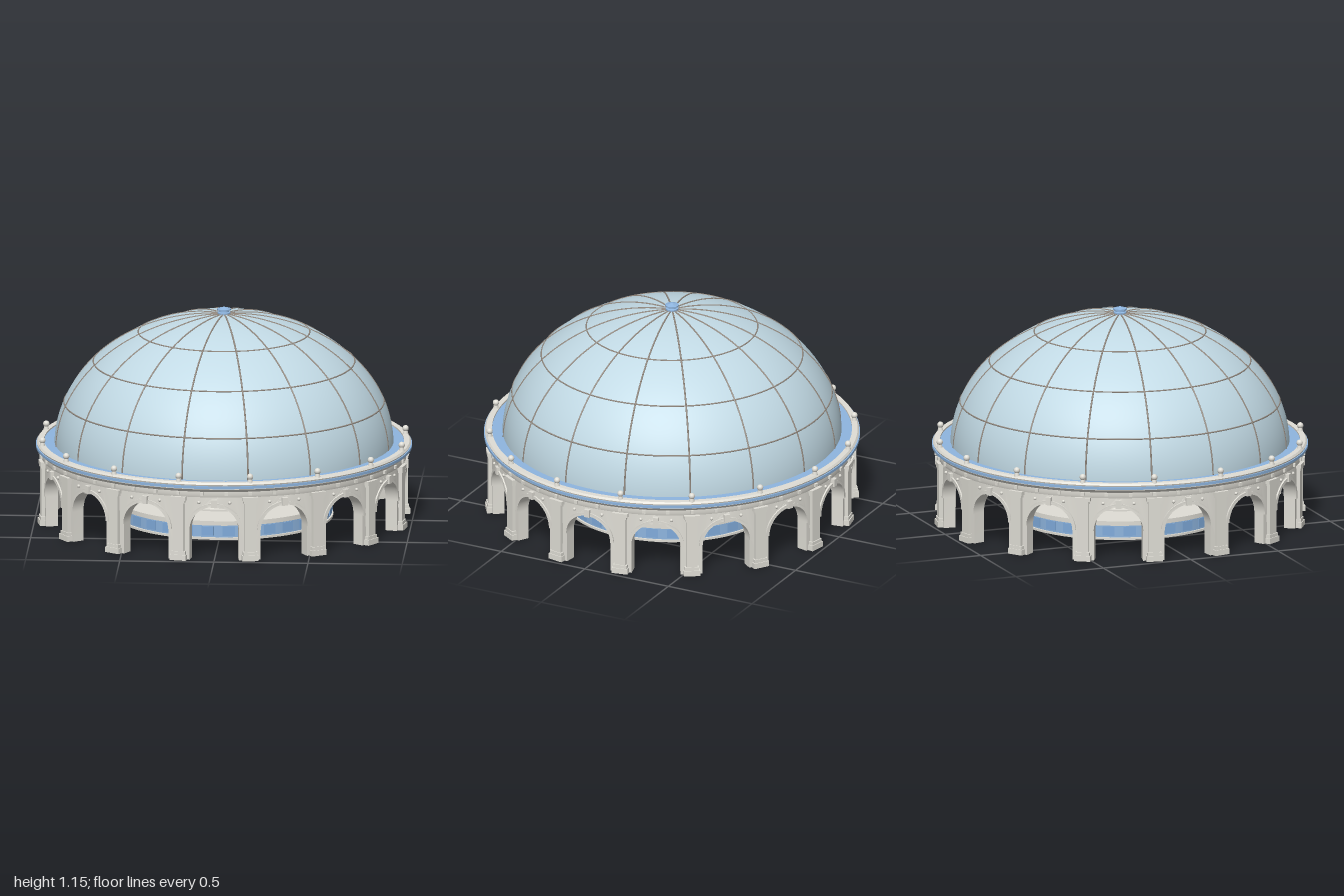
import * as THREE from 'three';
import { toCreasedNormals } from 'three/addons/utils/BufferGeometryUtils.js';

const material = (name, color, side = THREE.FrontSide) => {
  const m = new THREE.MeshStandardMaterial({ color, side });
  m.name = name;
  return m;
};

const BAYS = 16, STEP = Math.PI * 2 / BAYS;
const WALL_IN = 0.9, WALL_OUT = 0.963;
const HALF_BAY = WALL_OUT * STEP / 2;   // half a bay, measured along the wall face
const ARCH = 0.131, SPRING = 0.163;

export function createModel() {
  const model = new THREE.Group();
  model.name = 'domedPavilion';

  const stone = material('stone', 0xdfddd5);
  const blue = material('blue trim', 0x8eb5df);
  const deepBlue = material('panel blue', 0x80abdb);
  const glass = material('dome glass', 0xc1d9e4, THREE.DoubleSide);
  const bronze = material('rib bronze', 0x968c82);

  const add = (name, geo, mat, parent = model) => {
    const mesh = new THREE.Mesh(geo, mat);
    mesh.name = name;
    parent.add(mesh);
    return mesh;
  };

  // Turned part from [radius, y] points; closed profiles run counter-clockwise
  const turned = (name, pts, mat, closed = false, segments = 96) => {
    const list = closed ? [...pts, pts[0]] : pts;
    const geo = new THREE.LatheGeometry(list.map(([r, y]) => new THREE.Vector2(r, y)), segments);
    return add(name, toCreasedNormals(geo, 0.5), mat);
  };

  // Rectangular ring
  const band = (name, r0, r1, y0, y1, mat) =>
    turned(name, [[r0, y0], [r1, y0], [r1, y1], [r0, y1]], mat, true);

  // Repeats one geometry around the vertical axis
  const around = (name, geo, mat, count = BAYS, offset = 0) => {
    const group = new THREE.Group();
    group.name = name + 'Ring';
    for (let i = 0; i < count; i++) {
      add(name, geo, mat, group).rotation.y = offset + i * Math.PI * 2 / count;
    }
    model.add(group);
  };

  const block = (w, h, d, y, r) => new THREE.BoxGeometry(w, h, d).translate(0, y + h / 2, r);

  // Extrudes a flat shape and wraps it onto the round wall
  const wrapped = (shape, r0, r1) => {
    const geo = new THREE.ExtrudeGeometry(shape, { depth: r1 - r0, bevelEnabled: false, curveSegments: 20 });
    const p = geo.attributes.position;
    for (let i = 0; i < p.count; i++) {
      const a = p.getX(i) / WALL_OUT, r = r0 + p.getZ(i);
      p.setXYZ(i, r * Math.sin(a), p.getY(i), r * Math.cos(a));
    }
    return toCreasedNormals(geo, 0.5);
  };

  // Arcade wall, one arched bay at a time
  const bay = new THREE.Shape();
  bay.moveTo(HALF_BAY, 0);
  for (let i = 0; i <= 8; i++) bay.lineTo(HALF_BAY * (1 - i / 4), 0.4);
  bay.lineTo(-HALF_BAY, 0);
  bay.lineTo(-ARCH, 0);
  bay.lineTo(-ARCH, SPRING);
  bay.absarc(0, SPRING, ARCH, Math.PI, 0, true);
  bay.lineTo(ARCH, 0);
  around('archBay', wrapped(bay, WALL_IN, WALL_OUT), stone);

  // Raised moulding and keystone over each arch
  const moulding = new THREE.Shape();
  moulding.absarc(0, SPRING, ARCH + 0.018, 0, Math.PI, false);
  moulding.absarc(0, SPRING, ARCH, Math.PI, 0, true);
  around('archMoulding', wrapped(moulding, WALL_OUT - 0.005, WALL_OUT + 0.008), stone);
  around('keystone', block(0.03, 0.042, 0.026, 0.29, 0.967), stone);
  for (const s of [-1, 1]) {
    around('spandrelBoss', new THREE.SphereGeometry(0.009, 10, 8).translate(0, 0.315, 0.965), stone, BAYS, s * 0.085);
  }

  // Pilasters on the piers: base, shaft and capital
  const half = STEP / 2;
  around('pierBase', block(0.088, 0.03, 0.04, 0, 0.972), stone, BAYS, half);
  around('pierBaseStep', block(0.076, 0.018, 0.034, 0.03, 0.97), stone, BAYS, half);
  around('pilasterShaft', block(0.06, 0.27, 0.03, 0.045, 0.967), stone, BAYS, half);
  around('pilasterCapital', block(0.07, 0.014, 0.036, 0.312, 0.968), stone, BAYS, half);
  around('pilasterCapitalTop', block(0.084, 0.02, 0.04, 0.326, 0.969), stone, BAYS, half);

  // Frieze, brackets and cornice
  turned('frieze', [[0.905, 0.345], [0.97, 0.345], [0.974, 0.358], [0.974, 0.376], [0.982, 0.386],
    [0.99, 0.392], [0.99, 0.4], [0.905, 0.4]], stone, true);
  around('bracket', block(0.018, 0.018, 0.016, 0.357, 0.977), stone, 48, half / 3);
  band('corniceBand', 0.91, 0.998, 0.397, 0.411, blue);
  turned('corniceRim', [[0.955, 0.41], [0.99, 0.41], [0.993, 0.418], [0.985, 0.428], [0.955, 0.428]], stone, true);
  band('gutter', 0.897, 0.957, 0.408, 0.42, blue);

  // Ball finials above the piers
  around('finialPedestal', new THREE.CylinderGeometry(0.01, 0.016, 0.025, 12).translate(0, 0.436, 0.973), stone, BAYS, half);
  around('finialBall', new THREE.SphereGeometry(0.017, 16, 12).translate(0, 0.457, 0.973), stone, BAYS, half);

  // Dome shell with a plain inner lining
  const DOME_R = 0.9, DOME_H = 0.715, DOME_Y = 0.4;
  for (const [name, scale] of [['domeShell', 1], ['domeLining', 0.99]]) {
    const shell = new THREE.SphereGeometry(scale, 96, 32, 0, Math.PI * 2, 0, Math.PI / 2);
    add(name, shell.scale(DOME_R, DOME_H, DOME_R).translate(0, DOME_Y, 0), glass);
  }

  // Dome ribs and hoops
  const ribPoints = [];
  for (let i = 0; i <= 16; i++) {
    const a = i / 16 * Math.PI / 2;
    ribPoints.push(new THREE.Vector3(0, DOME_Y + DOME_H * Math.sin(a), DOME_R * Math.cos(a)));
  }
  const rib = new THREE.TubeGeometry(new THREE.CatmullRomCurve3(ribPoints), 40, 0.0045, 6);
  around('domeRib', rib, bronze, BAYS, half);
  for (const y of [0.637, 0.856, 1.017]) {
    const r = DOME_R * Math.sqrt(1 - ((y - DOME_Y) / DOME_H) ** 2);
    add('domeHoop', new THREE.TorusGeometry(r, 0.004, 6, 96).rotateX(Math.PI / 2).translate(0, y, 0), bronze);
  }

  // Crown at the top of the dome
  turned('crown', [[0, 1.105], [0.034, 1.105], [0.034, 1.124], [0.026, 1.127], [0.026, 1.133],
    [0.036, 1.136], [0.036, 1.143], [0.016, 1.148], [0, 1.155]], blue, false, 32);

  // Ring platform inside the arcade
  band('platformBody', 0.345, 0.57, 0.018, 0.1, blue);
  band('platformPlinth', 0.555, 0.58, 0.02, 0.032, stone);
  band('platformCap', 0.345, 0.582, 0.098, 0.122, stone);
  band('platformCurb', 0.338, 0.36, 0.1, 0.13, stone);
  around('platformPanel', block(0.065, 0.05, 0.008, 0.041, 0.57), deepBlue, 32, Math.PI / 32);

  // Central pedestal and column
  turned('pedestal', [[0, 0.005], [0.115, 0.005], [0.132, 0.015], [0.135, 0.05], [0.125, 0.065], [0.105, 0.075],
    [0.1, 0.13], [0.1, 0.26], [0.085, 0.29], [0.085, 0.53], [0.105, 0.55], [0.135, 0.565], [0.135, 0.62],
    [0.11, 0.64], [0.09, 0.65], [0.09, 0.7], [0.06, 0.73], [0, 0.75]], stone, false, 48);
  band('pedestalLowerBand', 0.09, 0.108, 0.148, 0.163, blue);
  band('pedestalUpperBand', 0.09, 0.105, 0.163, 0.184, blue);
  band('columnBand', 0.08, 0.094, 0.41, 0.43, blue);

  return model;
}
